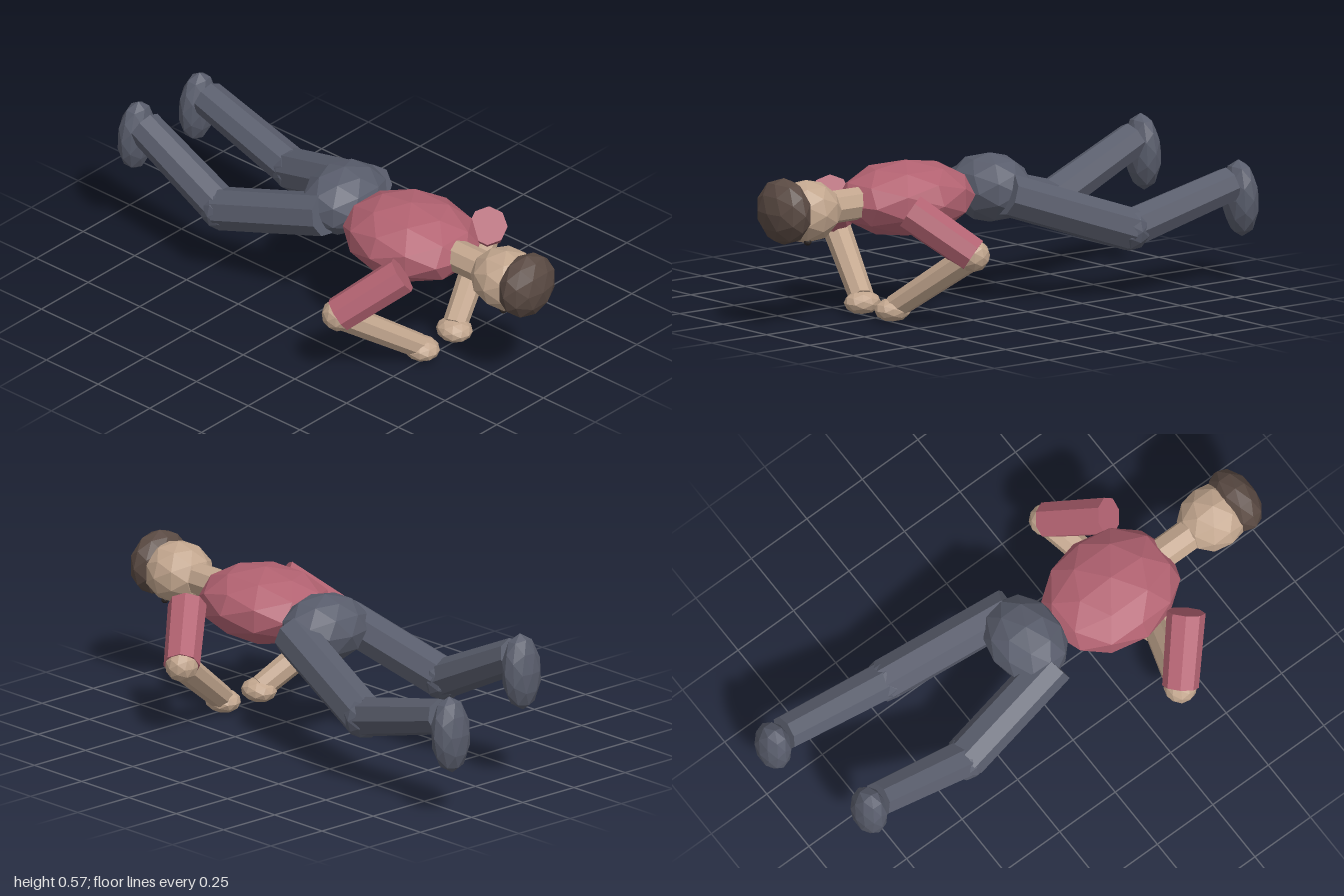
import * as THREE from 'three';

const mat = (name, color) => {
  const m = new THREE.MeshStandardMaterial({ color, flatShading: true });
  m.name = name;
  return m;
};

export function createModel() {
  const model = new THREE.Group();
  model.name = 'lyingFigure';

  const shirt = mat('shirt', 0xb26271);
  const skin = mat('skin', 0xc2a68e);
  const trousers = mat('trousers', 0x595d6c);
  const hair = mat('hair', 0x5a4a43);
  const dark = mat('eyes', 0x2a2422);

  // Faceted ellipsoid: centre, half sizes along x, y, z
  const blob = (name, material, c, r, tilt = 0, parent = model) => {
    const geo = new THREE.IcosahedronGeometry(1, 1);
    geo.rotateX(Math.PI / 2);
    geo.scale(...r);
    const mesh = new THREE.Mesh(geo, material);
    mesh.name = name;
    mesh.position.set(...c);
    mesh.rotation.x = tilt;
    parent.add(mesh);
    return mesh;
  };

  // Eight-sided limb from point a to point b
  const limb = (name, material, a, b, ra, rb, parent = model) => {
    const p = new THREE.Vector3(...a), q = new THREE.Vector3(...b);
    const dir = q.clone().sub(p);
    const mesh = new THREE.Mesh(new THREE.CylinderGeometry(rb, ra, dir.length(), 8), material);
    mesh.name = name;
    mesh.position.copy(p).add(q).multiplyScalar(0.5);
    mesh.quaternion.setFromUnitVectors(new THREE.Vector3(0, 1, 0), dir.normalize());
    parent.add(mesh);
    return mesh;
  };

  // Trunk
  blob('torso', shirt, [0, 0.424, 0.36], [0.222, 0.138, 0.265]);
  blob('pelvis', trousers, [0.037, 0.425, 0.005], [0.175, 0.127, 0.143]);
  limb('neck', skin, [0, 0.43, 0.58], [0, 0.43, 0.74], 0.06, 0.06);

  // Head, face down
  blob('head', skin, [0, 0.43, 0.82], [0.122, 0.115, 0.135]);
  blob('hair', hair, [0, 0.442, 0.92], [0.127, 0.122, 0.08]);
  for (const s of [-1, 1]) blob('eye', dark, [s * 0.043, 0.328, 0.845], [0.014, 0.014, 0.014]);

  // Arms, mirrored
  for (const s of [-1, 1]) {
    const arm = new THREE.Group();
    arm.name = s > 0 ? 'leftArm' : 'rightArm';
    model.add(arm);
    const shoulder = [s * 0.23, 0.428, 0.525];
    const elbow = [s * 0.4, 0.275, 0.37];
    const wrist = [s * 0.095, 0.055, 0.485];
    limb('upperArm', shirt, shoulder, elbow, 0.07, 0.066, arm);
    blob('elbow', skin, elbow, [0.061, 0.061, 0.061], 0, arm);
    limb('forearm', skin, elbow, wrist, 0.052, 0.045, arm);
    blob('hand', skin, [s * 0.088, 0.044, 0.49], [0.062, 0.043, 0.07], 0, arm);
  }

  // Legs, each with its own pose
  const legs = [
    { name: 'leftLeg', hip: [0.165, 0.42, 0.03], knee: [0.268, 0.252, -0.45],
      ankle: [0.292, 0.365, -0.89], foot: [0.295, 0.31, -0.938] },
    { name: 'rightLeg', hip: [-0.095, 0.42, 0.03], knee: [-0.155, 0.292, -0.415],
      ankle: [-0.145, 0.475, -0.8], foot: [-0.143, 0.425, -0.838] },
  ];
  for (const l of legs) {
    const leg = new THREE.Group();
    leg.name = l.name;
    model.add(leg);
    limb('thigh', trousers, l.hip, l.knee, 0.08, 0.08, leg);
    blob('knee', trousers, l.knee, [0.08, 0.08, 0.08], 0, leg);
    limb('shin', trousers, l.knee, l.ankle, 0.073, 0.066, leg);
    blob('foot', trousers, l.foot, [0.081, 0.142, 0.06], 0.06, leg);
  }

  return model;
}
